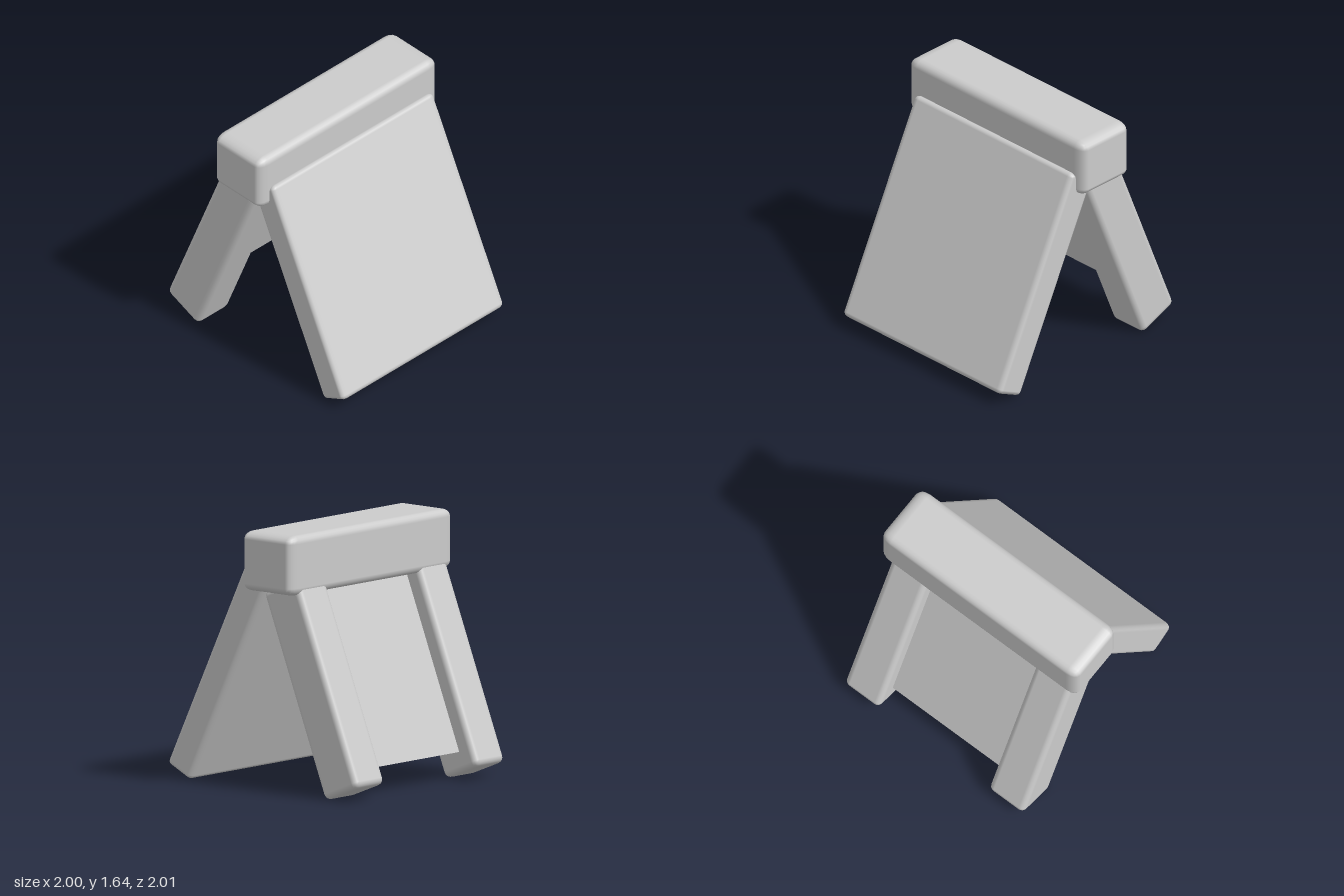
import * as THREE from 'three';
import { RoundedBoxGeometry } from 'three/addons/geometries/RoundedBoxGeometry.js';

const grey = new THREE.MeshStandardMaterial({ color: 0xcccccc });
const greyThin = new THREE.MeshStandardMaterial({ color: 0xcccccc, side: THREE.DoubleSide });

// Box with soft edges; the rounding differs per axis.
function softBox(name, size, round, position, tilt = 0) {
  const [w, h, d] = size;
  const [rx, ry, rz] = round;
  const geometry = new RoundedBoxGeometry(w / rx, h / ry, d / rz, 2, 1);
  geometry.scale(rx, ry, rz);
  const mesh = new THREE.Mesh(geometry, grey);
  mesh.name = name;
  mesh.position.set(...position);
  mesh.rotation.x = tilt;
  return mesh;
}

export function createModel() {
  const model = new THREE.Group();
  model.name = 'leaningStand';

  // Everything is built square-on, then turned about the vertical axis.
  const stand = new THREE.Group();
  stand.name = 'stand';
  stand.rotation.y = THREE.MathUtils.degToRad(31);
  model.add(stand);

  const boardTilt = -0.452;
  const legTilt = 0.382;

  // Ridge beam along the top
  stand.add(softBox('ridgeBeam', [1.55, 0.38, 0.42], [0.08, 0.05, 0.05], [0, 1.47, -0.093]));

  // Broad front board
  stand.add(softBox('frontBoard', [1.4, 1.48, 0.21], [0.04, 0.03, 0.03], [0.01, 0.732, 0.37], boardTilt));

  // Two back legs
  for (const [name, x] of [['rightBackLeg', -0.585], ['leftBackLeg', 0.555]]) {
    stand.add(softBox(name, [0.275, 1.37, 0.3], [0.04, 0.04, 0.04], [x, 0.697, -0.387], legTilt));
  }

  // Thin panel spanning the legs
  const panel = new THREE.Mesh(new THREE.PlaneGeometry(1.1, 1.28), greyThin);
  panel.name = 'backPanel';
  panel.position.set(-0.015, 0.785, -0.392);
  panel.rotation.x = legTilt;
  stand.add(panel);

  return model;
}
